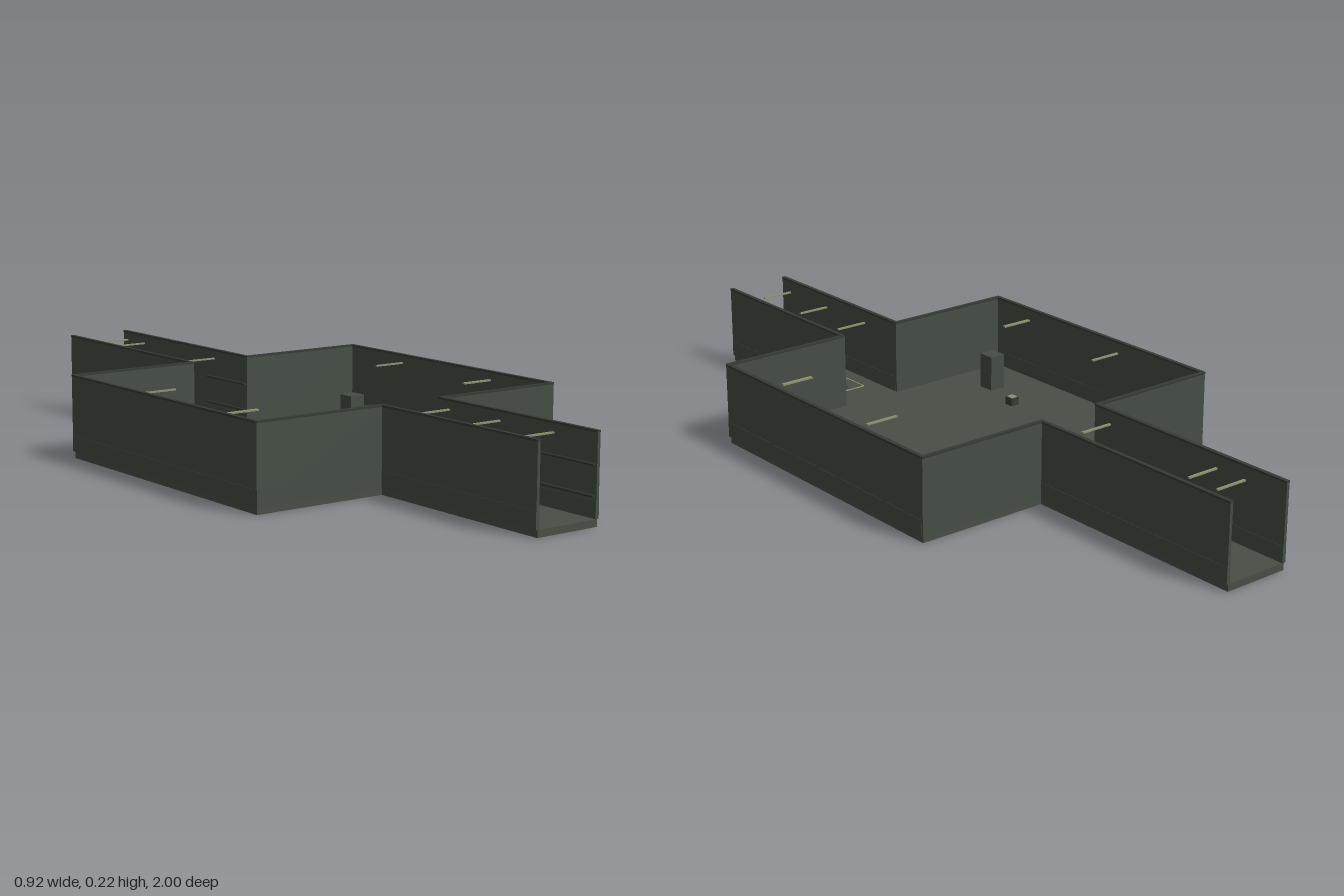
import * as THREE from 'three';

const mat = (name, color) => {
  const m = new THREE.MeshStandardMaterial({ color });
  m.name = name;
  return m;
};

export function createModel() {
  const model = new THREE.Group();
  model.name = 'roomWithCorridors';
  const wallMat = mat('wallGreenGrey', 0x454e45);
  const floorMat = mat('floorGrey', 0x484e46);
  const trimMat = mat('darkTrim', 0x353b34);
  const lightMat = mat('paleLamp', 0x8c9270);

  // Box given by its extents on each axis
  const box = (name, material, x0, x1, y0, y1, z0, z1, parent = model) => {
    const mesh = new THREE.Mesh(new THREE.BoxGeometry(x1 - x0, y1 - y0, z1 - z0), material);
    mesh.position.set((x0 + x1) / 2, (y0 + y1) / 2, (z0 + z1) / 2);
    mesh.name = name;
    parent.add(mesh);
    return mesh;
  };

  const FLOOR = 0.018, TOP = 0.22;
  const HALF = 0.455, HALL = 0.09, FRONT = 0.455, BACK = -0.365;

  // Floors
  box('roomFloor', floorMat, -HALF, HALF, 0, FLOOR, BACK, FRONT);
  box('frontHallFloor', floorMat, -HALL, HALL, 0, FLOOR, FRONT, 1);
  box('backHallFloor', floorMat, -HALL, HALL, 0, FLOOR, -1, BACK);

  // A wall with a base board and a top rail, along its centre line
  const wall = (name, x0, x1, z0, z1) => {
    const g = new THREE.Group();
    g.name = name;
    const layer = (part, material, t, y0, y1) => {
      const alongX = x1 - x0 > z1 - z0;
      const px = alongX ? 0.004 : t, pz = alongX ? t : 0;
      box(part, material, x0 - px, x1 + px, y0, y1, z0 - pz, z1 + pz, g);
    };
    layer('wallPanel', wallMat, 0.004, FLOOR, TOP - 0.004);
    layer('baseBoard', wallMat, 0.0048, FLOOR, 0.06);
    layer('topRail', trimMat, 0.0055, TOP - 0.005, TOP);
    model.add(g);
  };
  for (const s of [-1, 1]) {
    const side = s > 0 ? 'left' : 'right';
    wall(side + 'RoomWall', s * HALF, s * HALF, BACK, FRONT);
    wall(side + 'FrontHallWall', s * HALL, s * HALL, FRONT, 1);
    wall(side + 'BackHallWall', s * HALL, s * HALL, -1, BACK);
    const [a, b] = s > 0 ? [HALL, HALF] : [-HALF, -HALL];
    wall(side + 'FrontRoomWall', a, b, FRONT, FRONT);
    wall(side + 'BackRoomWall', a, b, BACK, BACK);
  }

  // Hanging strip lamps
  const lamp = (x, z, d = 0.007) =>
    box('stripLamp', lightMat, x - 0.045, x + 0.045, 0.203, 0.207, z - d / 2, z + d / 2);
  for (const z of [-0.91, -0.82, -0.46, 0.54, 0.72, 0.9]) lamp(0, z);
  for (const x of [-0.367, 0.367]) {
    lamp(x, -0.09);
    lamp(x, 0.27, 0.01);
  }

  // Four pillars and a corner crate
  for (const x of [-0.318, 0.315])
    for (const z of [-0.185, 0.315])
      box('pillar', wallMat, x - 0.023, x + 0.023, FLOOR, 0.115, z - 0.023, z + 0.023);
  box('cornerCrate', wallMat, 0.378, 0.424, FLOOR, 0.064, -0.253, -0.207);

  // Small consoles with pale tops
  for (const [x, z] of [[0, -0.23], [-0.272, 0.175], [0.27, 0.175]]) {
    box('console', trimMat, x - 0.013, x + 0.013, FLOOR, 0.039, z - 0.013, z + 0.013);
    box('consoleTop', lightMat, x - 0.01, x + 0.01, 0.039, 0.041, z - 0.01, z + 0.01);
  }

  // Thin marked frames on the front hall floor
  for (const z of [0.585, 0.815]) {
    const r = 0.041, t = 0.004, y = FLOOR + 0.002;
    for (const s of [-1, 1]) {
      box('floorMark', lightMat, -r, r, FLOOR, y, z + s * r - t / 2, z + s * r + t / 2);
      box('floorMark', lightMat, s * r - t / 2, s * r + t / 2, FLOOR, y, z - r, z + r);
    }
  }

  // Pipes along the left hall walls
  for (const y of [0.07, 0.142])
    for (const [z0, z1] of [[FRONT, 0.995], [-0.55, BACK]]) {
      const pipe = new THREE.Mesh(new THREE.CylinderGeometry(0.0035, 0.0035, z1 - z0, 8), trimMat);
      pipe.rotation.x = Math.PI / 2;
      pipe.position.set(0.082, y, (z0 + z1) / 2);
      pipe.name = 'wallPipe';
      model.add(pipe);
    }
  return model;
}
